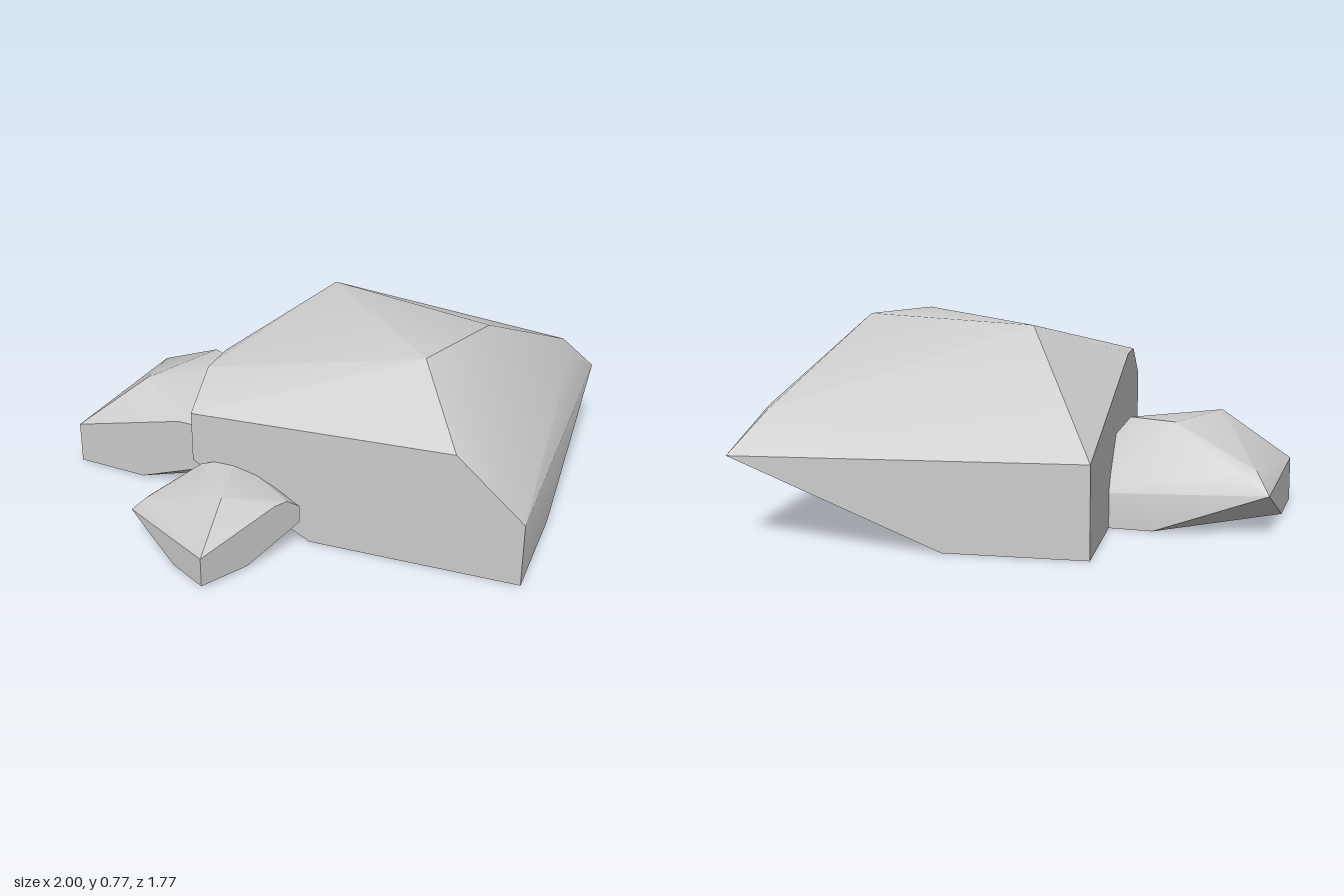
import * as THREE from 'three';
import { ConvexGeometry } from 'three/addons/geometries/ConvexGeometry.js';
import { toCreasedNormals } from 'three/addons/utils/BufferGeometryUtils.js';

// Corner points of the faceted boulder
const CORNERS = [
  // ground outline, with two opposite corners undercut
  [-0.33, 0, -0.89], [0.2, 0, -0.89], [1, 0, -0.04],
  [1, 0, 0.44], [0.16, 0, 0.44], [-0.33, 0, -0.28],
  // upper ends of the undercuts
  [-0.33, 0.27, 0.44], [1, 0.32, -0.89],
  // upper rim of the walls
  [-0.33, 0.34, -0.89], [-0.33, 0.6, 0.1], [-0.33, 0.6, 0.27],
  [-0.33, 0.475, 0.44], [0.73, 0.5, 0.44], [1, 0.26, 0.44],
  // crown
  [-0.03, 0.76, -0.38], [0.545, 0.765, 0.235], [0.69, 0.77, -0.14],
  [0.935, 0.465, -0.64], [0.88, 0.475, -0.78],
];
const CENTRE = [0.335, -0.225];

function createRockGeometry() {
  const points = CORNERS.map(([x, y, z]) => new THREE.Vector3(x - CENTRE[0], y, z - CENTRE[1]));
  return toCreasedNormals(new ConvexGeometry(points), 0.6);
}

export function createModel() {
  const group = new THREE.Group();
  group.name = 'rockCluster';
  const geometry = createRockGeometry();
  const material = new THREE.MeshStandardMaterial({ color: 0xcccccc });

  // One boulder shape, repeated at three sizes and headings
  const rocks = [
    { name: 'largeRock', position: [CENTRE[0], 0, CENTRE[1]], scale: 1, turn: 0 },
    { name: 'mediumRock', position: [-0.625, 0, -0.125], scale: 0.51, turn: 1.47 },
    { name: 'smallRock', position: [-0.185, 0.01, 0.56], scale: 0.35, turn: 2.62 },
  ];
  for (const { name, position, scale, turn } of rocks) {
    const rock = new THREE.Mesh(geometry, material);
    rock.name = name;
    rock.position.set(...position);
    rock.scale.setScalar(scale);
    rock.rotation.y = turn;
    group.add(rock);
  }
  return group;
}
